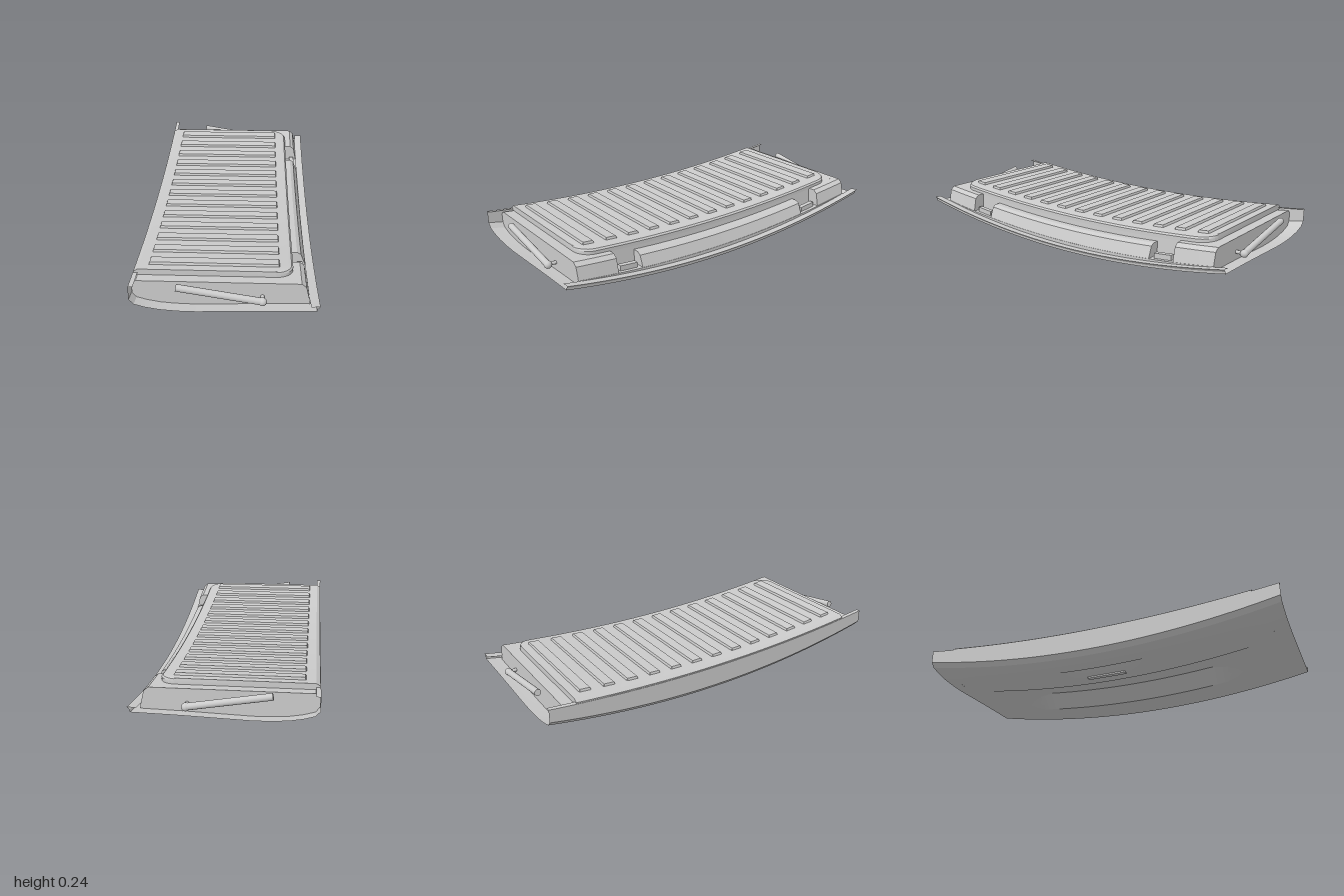
import * as THREE from 'three';
import { toCreasedNormals } from 'three/addons/utils/BufferGeometryUtils.js';

const mat = new THREE.MeshStandardMaterial({ color: 0xcccccc, side: THREE.DoubleSide });

// Height rules along the bowed length
const bow = z => 0.1 * z * z;
const panelTop = z => 0.19 + 0.06 * z * z;
const frameTop = z => panelTop(z) - 0.03;
const floorY = z => 0.06 + 0.08 * z * z;

// Piecewise linear lookup through [x, y] points
function lerpTable(pts, x) {
  if (x <= pts[0][0]) return pts[0][1];
  for (let i = 1; i < pts.length; i++) {
    const [x0, y0] = pts[i - 1], [x1, y1] = pts[i];
    if (x <= x1) return y0 + (y1 - y0) * (x - x0) / (x1 - x0);
  }
  return pts[pts.length - 1][1];
}
const skinProfile = [[-0.43, 0.062], [-0.41, 0.037], [-0.36, 0.022], [-0.3, 0.011], [-0.22, 0.004],
  [-0.13, 0.003], [0.2, 0.015], [0.418, 0.02]];
const basin = [[-0.131, 0], [-0.129, 1], [0.12, 1], [0.22, 0]];
const pocket = [[-0.301, 0], [-0.299, 1], [-0.2, 0]];
function skinY(x, z) {
  const a = Math.abs(z);
  return bow(z) + lerpTable(skinProfile, x)
    + 0.07 * lerpTable(basin, x) * lerpTable([[0.5, 1], [0.78, 0]], a)
    + 0.035 * lerpTable(pocket, x) * lerpTable([[0.14, 1], [0.25, 0]], a);
}

// Sweep an x-y section along z; capExtra closes the end polygons
function sweep(name, zs, section, capExtra) {
  const pos = [];
  const rows = zs.map(z => section(z).map(([x, y]) => [x, y, z]));
  for (let i = 0; i + 1 < rows.length; i++) {
    for (let j = 0; j + 1 < rows[i].length; j++) {
      const a = rows[i][j], b = rows[i][j + 1], c = rows[i + 1][j], d = rows[i + 1][j + 1];
      pos.push(...a, ...c, ...b, ...b, ...c, ...d);
    }
  }
  if (capExtra) {
    for (const z of [zs[0], zs[zs.length - 1]]) {
      const ring = section(z).concat(capExtra(z)).map(([x, y]) => new THREE.Vector2(x, y));
      for (const tri of THREE.ShapeUtils.triangulateShape(ring, [])) {
        const order = z === zs[0] ? [...tri].reverse() : tri;
        for (const k of order) pos.push(ring[k].x, ring[k].y, z);
      }
    }
  }
  const g = new THREE.BufferGeometry();
  g.setAttribute('position', new THREE.Float32BufferAttribute(pos, 3));
  const mesh = new THREE.Mesh(toCreasedNormals(g, 0.45), mat);
  mesh.name = name;
  return mesh;
}
const range = (a, b, n) => Array.from({ length: n + 1 }, (_, i) => a + (b - a) * i / n);
const none = () => [];

function addTo(parent, name, geometry, x, y, z) {
  const m = new THREE.Mesh(geometry, mat);
  m.name = name;
  m.position.set(x, y, z);
  parent.add(m);
  return m;
}

// Gas strut with ball joint, at one end
function strut(side) {
  const g = new THREE.Group();
  g.name = 'strut';
  const z = side * 0.963;
  const a = new THREE.Vector3(-0.222, 0.207, z), b = new THREE.Vector3(0.175, 0.14, z);
  const dir = b.clone().sub(a), mid = a.clone().add(b).multiplyScalar(0.5);
  const rod = addTo(g, 'strutTube', new THREE.CylinderGeometry(0.017, 0.017, dir.length(), 20), mid.x, mid.y, mid.z);
  rod.quaternion.setFromUnitVectors(new THREE.Vector3(0, 1, 0), dir.normalize());
  addTo(g, 'strutJoint', new THREE.SphereGeometry(0.02, 16, 12), 0.172, 0.14, z);
  const pin = addTo(g, 'strutPin', new THREE.CylinderGeometry(0.009, 0.009, 0.05, 12), 0.172, 0.14, side * 0.935);
  pin.rotation.x = Math.PI / 2;
  return g;
}

export function createModel() {
  const model = new THREE.Group();
  model.name = 'tailgate';

  // Bowed outer skin with basin, handle pocket and turned-up edges
  const skinXs = [-0.41, -0.385, -0.36, -0.33, -0.301, -0.299, -0.25, -0.2, -0.16, -0.131, -0.129,
    -0.05, 0.03, 0.12, 0.17, 0.22, 0.32, 0.418];
  model.add(sweep('outerSkin', range(-1, 1, 100), z => [
    [-0.41, panelTop(z) - 0.01 - 0.01 * Math.abs(z)], [-0.432, panelTop(z) - 0.02], [-0.432, 0.062 + bow(z)],
    ...skinXs.map(x => [x, skinY(x, z)]),
    [0.42, 0.032 + bow(z)], [0.432, 0.045 + bow(z)], [0.42, 0.045 + bow(z)], [0.39, 0.042 + bow(z)],
  ]));

  // Inner frame, with a stepped ledge along the latch edge
  model.add(sweep('innerFrame', range(-0.92, 0.92, 32), z => [
    [-0.43, 0.062 + bow(z)], [-0.43, frameTop(z) - 0.015], [-0.41, frameTop(z)],
    [0.31, frameTop(z)], [0.315, floorY(z)], [0.39, floorY(z)], [0.39, skinY(0.39, z)],
  ], z => [0.2, -0.13, -0.22, -0.3, -0.36, -0.41].map(x => [x, skinY(x, z)])));

  // Raised panel with rounded corners on the latch edge
  const r = 0.08;
  const panelEdge = z => {
    const t = Math.max(0, Math.abs(z) - (0.86 - r));
    return 0.315 - r + Math.sqrt(Math.max(0, r * r - t * t));
  };
  const corner = range(0, Math.PI / 2, 8).map(a => 0.86 - r + r * Math.sin(a));
  const panelZs = [...corner.map(z => -z).reverse(), ...range(-0.75, 0.75, 24), ...corner];
  model.add(sweep('raisedPanel', panelZs, z => {
    const e = panelEdge(z), t = panelTop(z);
    return [[-0.43, t - 0.03], [-0.43, t - 0.013], [-0.41, t], [e - 0.025, t], [e - 0.008, t - 0.004],
      [e, t - 0.013], [e, t - 0.032]];
  }, none));

  // Ribs
  for (let i = -6; i <= 6; i++) {
    const z0 = i * 0.13;
    const top = (z, h) => panelTop(z) + h;
    model.add(sweep('rib', [z0 - 0.032, z0 - 0.027, z0 + 0.027, z0 + 0.032], z => {
      const h = Math.abs(z - z0) > 0.03 ? 0 : 0.012;
      return [[-0.365, top(z, -0.003)], [-0.36, top(z, h)], [0.247, top(z, h)], [0.252, top(z, -0.003)]];
    }, none));
  }

  // Latch-edge blocks
  const cornerBlock = z => [[0.3, floorY(z)], [0.3, frameTop(z)], [0.35, frameTop(z)],
    [0.372, frameTop(z) - 0.018], [0.39, floorY(z) - 0.01]];
  model.add(sweep('cornerBlock', range(-0.92, -0.7, 6), cornerBlock, none));
  model.add(sweep('cornerBlock', range(0.7, 0.92, 6), cornerBlock, none));
  model.add(sweep('middleBlock', range(-0.56, 0.56, 20), z => {
    const t = 0.132 + 0.075 * z * z;
    return [[0.3, floorY(z)], [0.3, t], [0.345, t], [0.365, t - 0.012], [0.39, floorY(z) - 0.005]];
  }, none));

  for (const s of [-1, 1]) {
    // Latch bars between the blocks, and struts
    const bar = addTo(model, 'latchBar', new THREE.BoxGeometry(0.026, 0.03, 0.1), 0.358, floorY(0.63) + 0.012, s * 0.63);
    bar.rotation.x = -s * 0.1;
    model.add(strut(s));
  }

  // Handle grip across the outer pocket
  addTo(model, 'handleGrip', new THREE.BoxGeometry(0.025, 0.008, 0.22), -0.205, 0.004, 0);
  return model;
}
